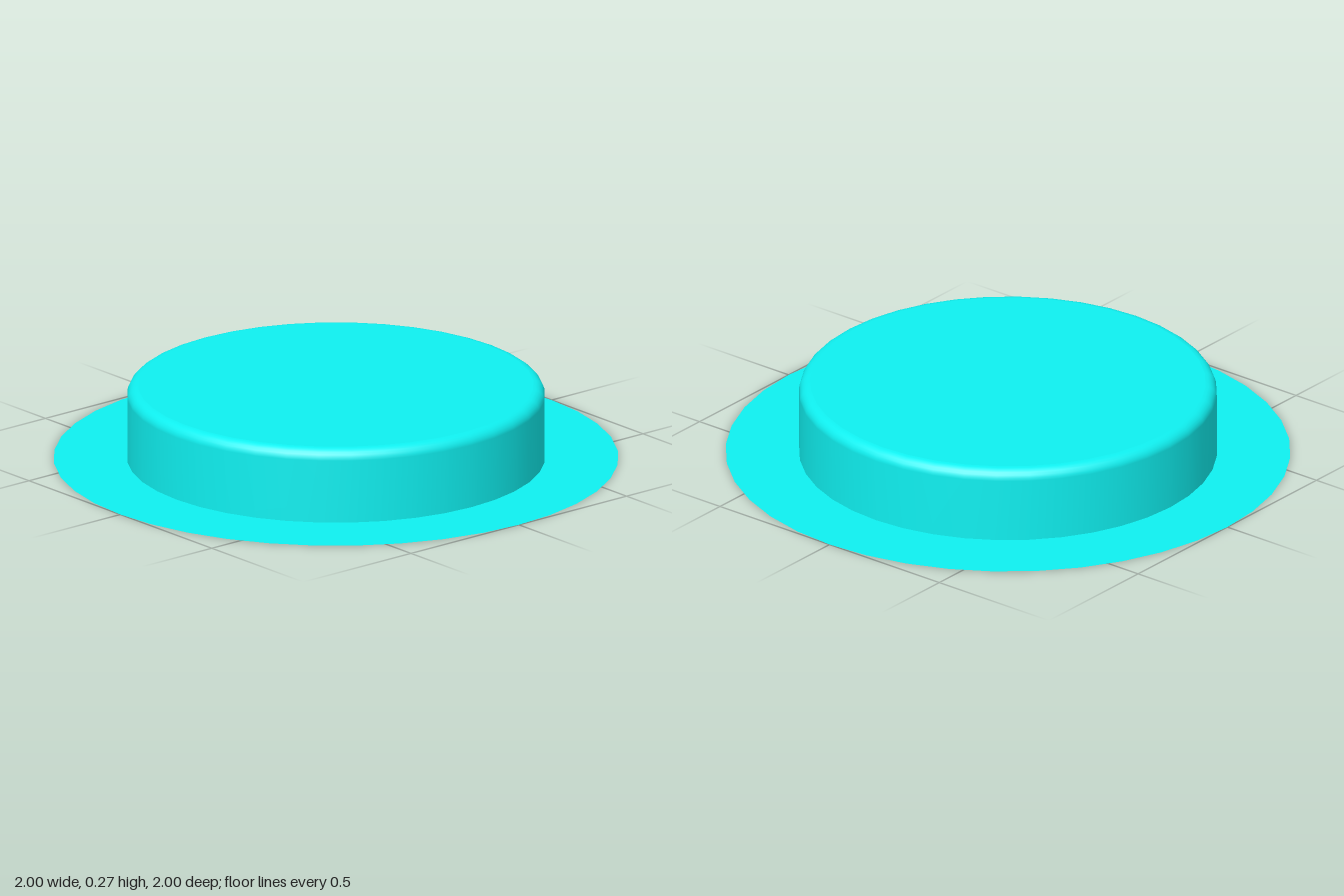
import * as THREE from 'three';

const SIDES = 40;
const BRIM_RADIUS = 1;
const CROWN_RADIUS = 0.74;
const HEIGHT = 0.27;
const ROUNDING = 0.04;

export function createModel() {
  const group = new THREE.Group();
  group.name = 'flatHat';
  const material = new THREE.MeshStandardMaterial({ color: 0x0ff0f0, side: THREE.DoubleSide });

  const add = (name, geometry, y = 0) => {
    const mesh = new THREE.Mesh(geometry, material);
    mesh.name = name;
    mesh.position.y = y;
    group.add(mesh);
  };

  // Flat, paper-thin brim, open in the middle
  add('brim', new THREE.RingGeometry(CROWN_RADIUS, BRIM_RADIUS, SIDES).rotateX(-Math.PI / 2));

  // Hollow crown wall with a rounded upper edge
  const inner = CROWN_RADIUS - ROUNDING;
  const profile = [new THREE.Vector2(CROWN_RADIUS, 0)];
  const steps = 6;
  for (let i = 0; i <= steps; i++) {
    const a = (i / steps) * Math.PI / 2;
    profile.push(new THREE.Vector2(inner + ROUNDING * Math.cos(a), HEIGHT - ROUNDING + ROUNDING * Math.sin(a)));
  }
  add('crownWall', new THREE.LatheGeometry(profile, SIDES));

  // Flat crown top
  add('crownTop', new THREE.CircleGeometry(inner, SIDES).rotateX(-Math.PI / 2), HEIGHT);

  return group;
}
